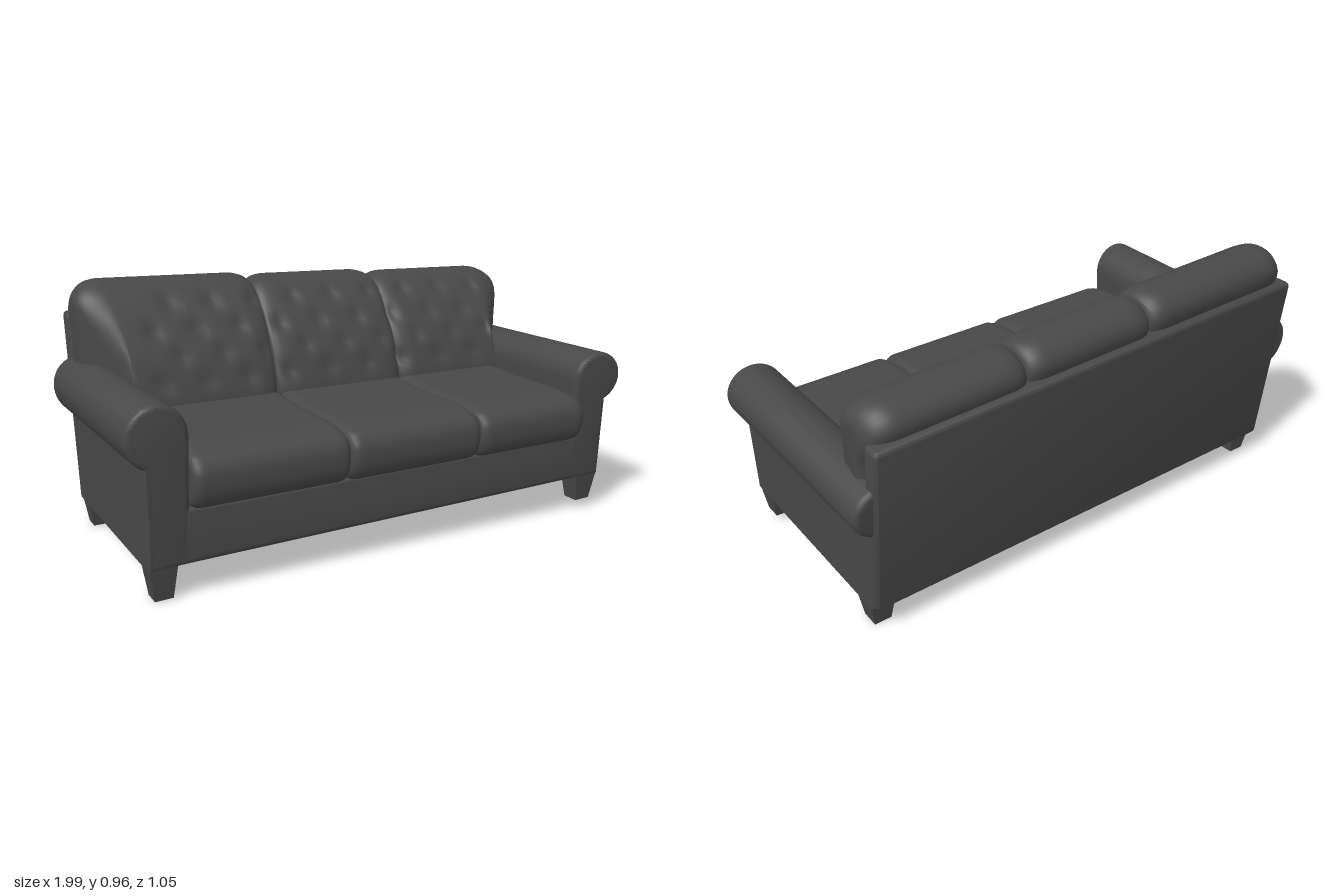
import * as THREE from 'three';
import { mergeVertices, toCreasedNormals } from 'three/addons/utils/BufferGeometryUtils.js';
import { RoundedBoxGeometry } from 'three/addons/geometries/RoundedBoxGeometry.js';

const clamp = THREE.MathUtils.clamp;

// Gentle skew of each part; lean also spreads the frame towards its top
function warp(geo, lean) {
  const p = geo.attributes.position;
  for (let i = 0; i < p.count; i++) {
    const x = p.getX(i), y = p.getY(i);
    let z = p.getZ(i);
    if (lean) z *= 1 + (z < 0 ? 0.25 : 0.09) * (y - 0.1);
    const f = y > 0.35 ? 1 : clamp((z + 0.35) / 0.7, 0, 1);
    p.setXYZ(i, x, Math.max(0, y - (y - 0.35) * 0.06 * x * f + 0.04 * z), z + 0.027 * x);
  }
}

// Soft cushion: a closed (z, y) profile swept along x, drawn in at both ends
function cushionGeometry(points, x0, x1, ends, shape) {
  const curve = new THREE.CatmullRomCurve3(points.map(([z, y]) => new THREE.Vector3(0, y, z)), true);
  const ring = curve.getSpacedPoints(60).slice(0, -1);
  const n = 44, m = ring.length;
  const box = new THREE.Box3().setFromPoints(ring);
  const c = box.getCenter(new THREE.Vector3()), h = box.getSize(new THREE.Vector3()).multiplyScalar(0.5);
  const pos = [], index = [];
  const addPoint = (x, y, z) => {
    const v = new THREE.Vector3(x, y, z);
    if (shape) shape(v);
    pos.push(v.x, v.y, v.z);
  };
  for (let i = 0; i <= n; i++) {
    const x = x0 + (x1 - x0) * (1 - Math.cos(Math.PI * i / n)) / 2;
    let inset = 0;
    [x - x0, x1 - x].forEach((d, e) => {
      const k = clamp(1 - d / ends[e][0], 0, 1);
      inset += ends[e][1] * (1 - Math.sqrt(1 - k * k));
    });
    for (const q of ring) {
      addPoint(x, c.y + (q.y - c.y) * (1 - inset / h.y), c.z + (q.z - c.z) * (1 - inset / h.z));
    }
  }
  for (let i = 0; i < n; i++) for (let j = 0; j < m; j++) {
    const a = i * m + j, b = i * m + (j + 1) % m;
    index.push(a, a + m, b, b, a + m, b + m);
  }
  // End caps
  const s = pos.length / 3;
  addPoint(x0, c.y, c.z);
  addPoint(x1, c.y, c.z);
  for (let j = 0; j < m; j++) {
    const k = (j + 1) % m;
    index.push(s, j, k, s + 1, n * m + k, n * m + j);
  }
  const geo = new THREE.BufferGeometry();
  geo.setAttribute('position', new THREE.Float32BufferAttribute(pos, 3));
  geo.setIndex(index);
  return geo;
}

// Button tufts on the front, and outer corners tapering in between the arms
function tuft(v) {
  const frontZ = -0.1 - Math.max(0, v.y - 0.645) * 0.75;
  if (v.z > frontZ - 0.08) {
    for (let r = 0; r < 4; r++) {
      const y = 0.59 + r * 0.09, shift = (r % 2) * 0.085;
      for (let k = -4; k <= 4; k++) {
        const d2 = (v.x - k * 0.17 - shift) ** 2 + (v.y - y) ** 2;
        const g = 0.015 * Math.exp(-d2 / 0.0007);
        v.z -= g * 0.85;
        v.y -= g * 0.5;
      }
    }
  }
  const over = Math.abs(v.x) - 0.78;
  if (over > 0) {
    const f = 1 - 0.85 * THREE.MathUtils.smoothstep(v.z, -0.32, -0.09);
    v.x = Math.sign(v.x) * (0.78 + over * f);
  }
}

export function createModel() {
  const sofa = new THREE.Group();
  sofa.name = 'sofa';
  const fabric = new THREE.MeshStandardMaterial({ color: 0x484848 });
  fabric.name = 'charcoal upholstery';

  function add(name, geometry, lean = false) {
    geometry.deleteAttribute('normal');
    geometry.deleteAttribute('uv');
    geometry.clearGroups();
    const geo = mergeVertices(geometry, 1e-4);
    warp(geo, lean);
    const mesh = new THREE.Mesh(toCreasedNormals(geo, 0.8), fabric);
    mesh.name = name;
    sofa.add(mesh);
  }

  function block(name, x, y0, y1, z0, z1, r) {
    const geo = new RoundedBoxGeometry(2 * x, y1 - y0, z1 - z0, 4, r);
    geo.translate(0, (y0 + y1) / 2, (z0 + z1) / 2);
    add(name, geo, true);
  }

  // Frame
  block('seatBase', 0.86, 0.115, 0.312, -0.40, 0.436, 0.02);
  block('backPanel', 0.93, 0.115, 0.82, -0.424, -0.36, 0.018);

  for (const s of [1, -1]) {
    const side = s > 0 ? 'left' : 'right';

    // Rolled arm
    const shape = new THREE.Shape();
    shape.moveTo(s * 0.79, 0.115);
    shape.lineTo(s * 0.935, 0.115);
    shape.absarc(s * 0.89, 0.55, 0.107, s > 0 ? -1.13 : Math.PI + 1.13, s > 0 ? Math.PI : 0, s < 0);
    const arm = new THREE.ExtrudeGeometry(shape, {
      depth: 0.807, curveSegments: 28, bevelEnabled: true,
      bevelThickness: 0.02, bevelSize: 0.02, bevelOffset: -0.02, bevelSegments: 4,
    });
    arm.translate(0, 0, -0.39);
    add(side + 'Arm', arm, true);

    // Tapered square legs
    for (const [name, z, foot] of [['FrontLeg', 0.38, 0.004], ['BackLeg', -0.34, 0.016]]) {
      const leg = new THREE.CylinderGeometry(0.07, 0.046, 0.13 - foot, 4);
      leg.rotateY(Math.PI / 4);
      leg.translate(s * 0.882, (0.13 + foot) / 2, z);
      add(side + name, leg);
    }
  }

  // Three seat cushions and three tufted back cushions
  const seatProfile = [[0.445, 0.303], [0.488, 0.333], [0.501, 0.397], [0.484, 0.462], [0.41, 0.491],
    [0.1, 0.503], [-0.2, 0.503], [-0.25, 0.41], [-0.2, 0.31], [0.1, 0.302]];
  const backProfile = [[-0.07, 0.46], [-0.10, 0.64], [-0.165, 0.77], [-0.21, 0.84], [-0.285, 0.922],
    [-0.36, 0.95], [-0.435, 0.935], [-0.478, 0.885], [-0.47, 0.83], [-0.43, 0.73], [-0.38, 0.46]];
  const seatX = [-0.79, -0.217, 0.318, 0.79], backX = [-0.93, -0.225, 0.32, 0.93];
  const seatEnd = [0.04, 0.026], seam = [0.08, 0.04], corner = [0.11, 0.085];
  ['right', 'middle', 'left'].forEach((name, i) => {
    const seat = seatProfile.map(([z, y]) => [z > 0.4 ? z + 0.004 * (i - 0.5) : z, y]);
    const back = backProfile.map(([z, y]) => [z, y - (0.005 + 0.008 * i) * clamp((y - 0.6) / 0.3, 0, 1)]);
    add(name + 'SeatCushion', cushionGeometry(seat, seatX[i], seatX[i + 1], [seatEnd, seatEnd]));
    add(name + 'BackCushion', cushionGeometry(back, backX[i], backX[i + 1],
      [i === 0 ? corner : seam, i === 2 ? corner : seam], tuft));
  });

  // Crumpled lining sagging in three folds under the seat
  const lining = new THREE.PlaneGeometry(1.2, 0.7, 72, 48);
  lining.rotateX(Math.PI / 2);
  lining.translate(-0.12, 0, 0);
  const folds = [[-0.24, -0.24, 0.07], [-0.03, -0.03, 0.025], [-0.35, 0.25, 0.05]];
  const p = lining.attributes.position;
  for (let i = 0; i < p.count; i++) {
    const x = p.getX(i), z = p.getZ(i);
    const rough = 0.8 + 0.2 * Math.sin(23 * x + 19 * z) * Math.sin(31 * z - 11 * x);
    let sag = 0;
    for (const [fx, fz, depth] of folds) {
      sag += depth * Math.exp(-(((x - fx) / 0.27) ** 2) - ((z - fz) / 0.065) ** 2);
    }
    p.setY(i, 0.119 - sag * rough);
  }
  add('underLining', lining);

  return sofa;
}
